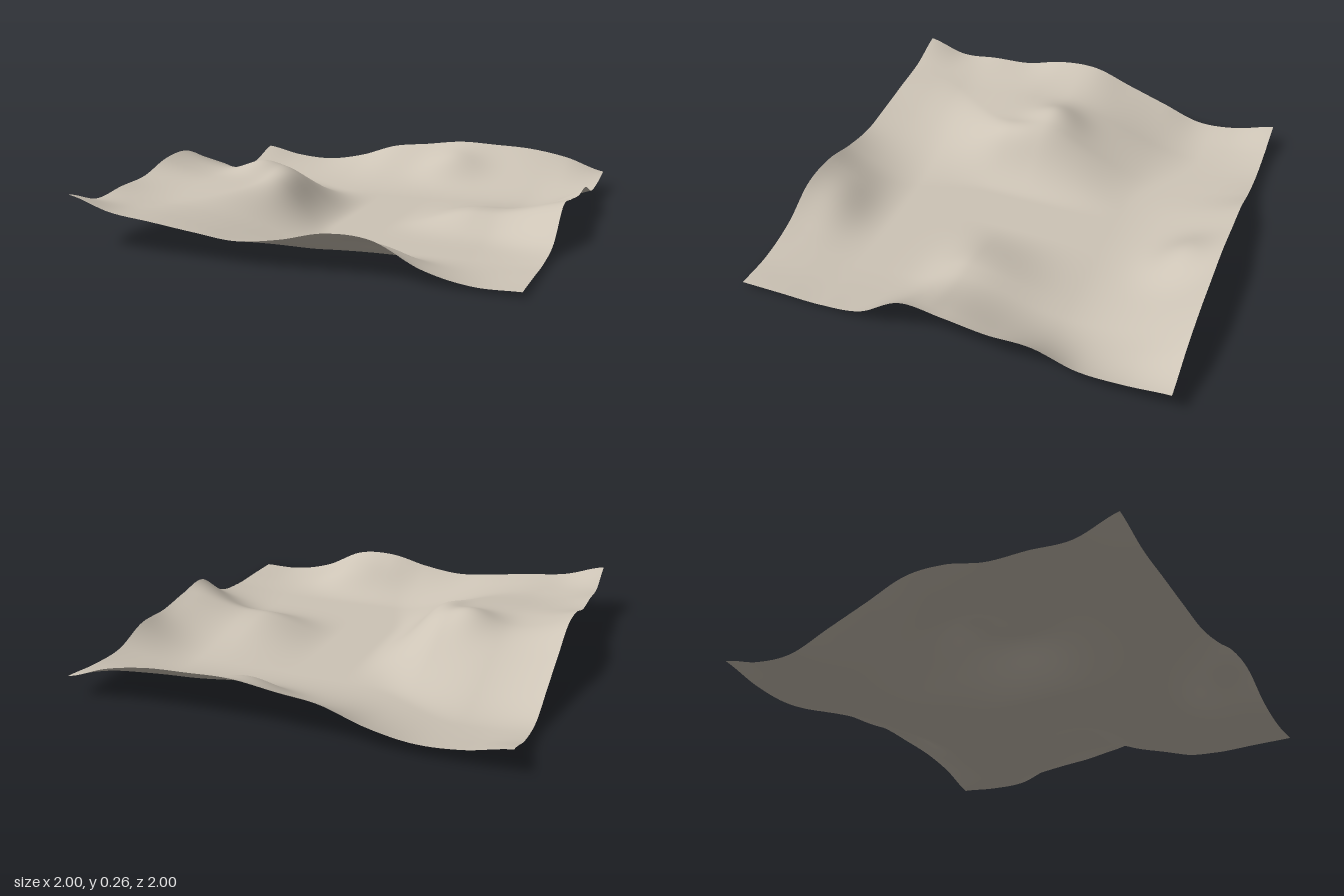
import * as THREE from 'three';

const { smoothstep, clamp, lerp } = THREE.MathUtils;

// Smooth height profile through evenly spaced knots from -1 to 1
function profile(heights) {
  const n = heights.length - 1;
  const curve = new THREE.SplineCurve(heights.map((h, i) => new THREE.Vector2((2 * i) / n - 1, h)));
  return (s) => curve.getPoint(clamp((s + 1) / 2, 0, 1)).y;
}

// Heights along the four borders of the sheet
const leftEdge = profile([0.115, 0.06, 0.05, 0.12, 0.19, 0.26, 0.255, 0.205, 0.195, 0.18, 0.24]);
const rightEdge = profile([0.10, 0.08, 0.08, 0.14, 0.14, 0.165, 0.18, 0.06, 0.03, 0.03, 0.03]);
const backEdge = profile([0.115, 0.075, 0.065, 0.10, 0.165, 0.19, 0.215, 0.21, 0.20, 0.165, 0.10]);
const frontEdge = profile([0.24, 0.18, 0.155, 0.13, 0.11, 0.135, 0.18, 0.17, 0.075, 0.03, 0.03]);

const bump = (x, z, cx, cz, rx, rz) => Math.exp(-(((x - cx) / rx) ** 2) - ((z - cz) / rz) ** 2);

// 1 at the border, easing to 0 at the given width
const fade = (d, width, power) => (d >= width ? 0 : (1 - d / width) ** power);

// Western plateau, sloping gently to the front and dropping steeply to the east
function plateau(x, z) {
  const spread = smoothstep(z, 0.25, 0.85);
  const flank = 1 - smoothstep(x, lerp(-0.42, -0.75, spread), lerp(-0.06, 0.1, spread));
  const rise = smoothstep(z, lerp(-0.68, -0.45, smoothstep(x, -0.7, -0.2)), 0.08);
  const fall = 1 - 0.2 * smoothstep(z, 0.25, 0.7);
  const knoll = 0.06 * bump(x, z, -0.52, 0.06, 0.13, 0.14) + 0.035 * bump(x, z, -0.33, 0.18, 0.09, 0.17);
  return 0.185 * flank * rise * fall + knoll;
}

// Low eastern ridge, steeper on its front side
function ridge(x, z) {
  const crest = 0.085 * smoothstep(x, 0.18, 0.58) + 0.03 * smoothstep(x, 0.65, 0.95);
  return crest * bump(0, z, 0, 0.06, 1, z > 0.06 ? 0.16 : 0.3);
}

// Spur running in from the back and a shelf behind the front border
const spur = (x, z) => 0.055 * bump(x, z, 0.2, -0.82, 0.16, 0.13);
const shelf = (x, z) => 0.035 * bump(x, z, 0.36, 0.84, 0.2, 0.12);

const interior = (x, z) => 0.008 + plateau(x, z) + ridge(x, z) + spur(x, z) + shelf(x, z);

// Blend the side borders into the interior
function withSides(x, z) {
  const left = (leftEdge(z) - interior(-1, z)) * fade(x + 1, 0.3, 2);
  const right = (rightEdge(z) - interior(1, z)) * fade(1 - x, 0.33, 2);
  return interior(x, z) + left + right;
}

// Blend the front and back borders into the result
function height(x, z) {
  const back = (backEdge(x) - withSides(x, -1)) * fade(z + 1, 0.58, 2.1);
  const front = (frontEdge(x) - withSides(x, 1)) * fade(1 - z, 0.4, 1.7);
  return Math.max(0, withSides(x, z) + back + front);
}

export function createModel() {
  const stone = new THREE.MeshStandardMaterial({ color: 0xcdc4b6, side: THREE.DoubleSide });
  stone.name = 'pale stone';

  const geometry = new THREE.PlaneGeometry(2, 2, 120, 120).rotateX(-Math.PI / 2);
  const p = geometry.attributes.position;
  for (let i = 0; i < p.count; i++) p.setY(i, height(p.getX(i), p.getZ(i)));
  geometry.computeVertexNormals();

  const terrain = new THREE.Mesh(geometry, stone);
  terrain.name = 'terrain';
  const model = new THREE.Group();
  model.name = 'rolling ground';
  model.add(terrain);
  return model;
}
